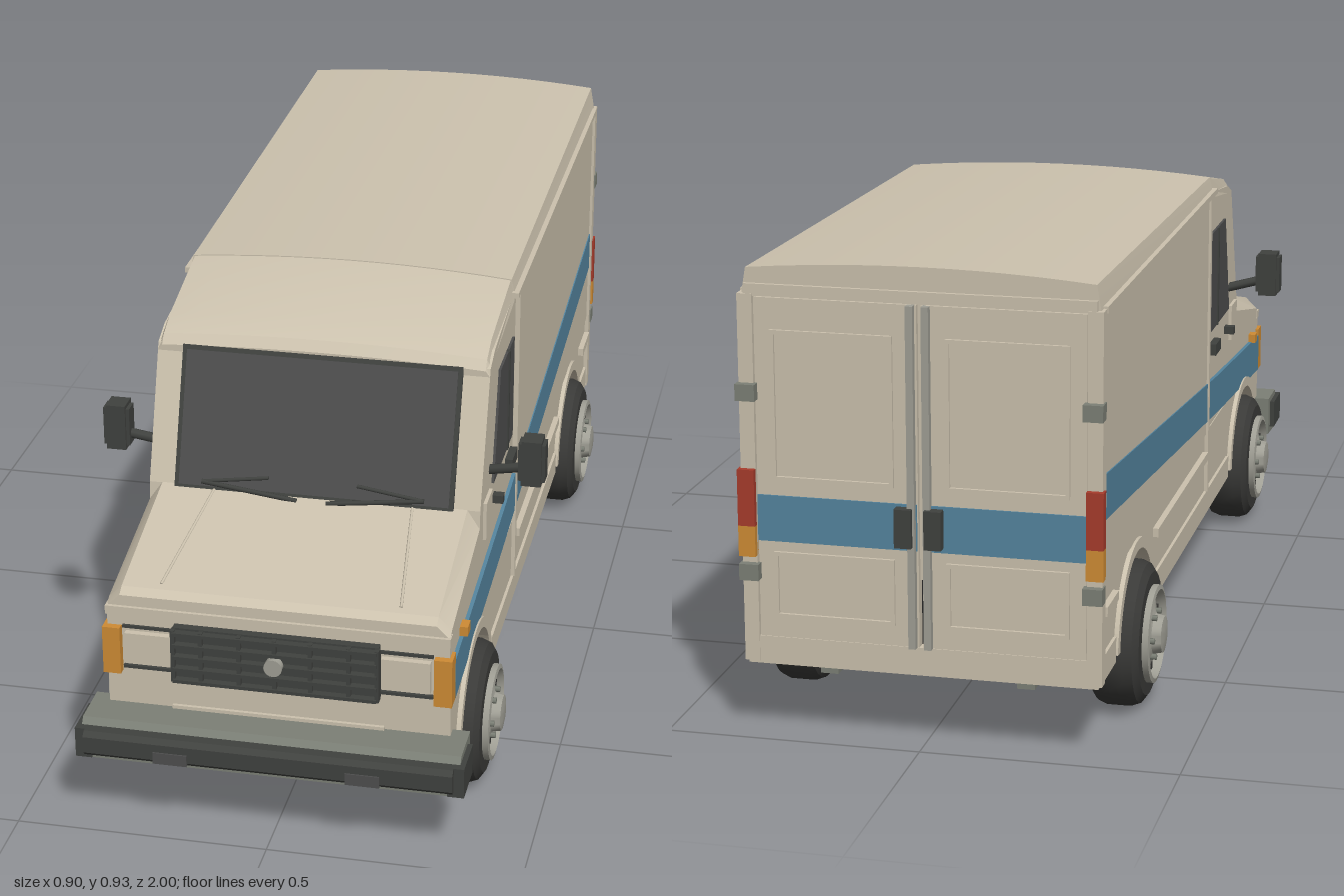
import * as THREE from 'three';
import { toCreasedNormals } from 'three/addons/utils/BufferGeometryUtils.js';

const mat = (name, color) => new THREE.MeshStandardMaterial({ name, color });
const M = {
  paint: mat('beige paint', 0xccc2ae), blue: mat('blue stripe', 0x55859f),
  glass: mat('dark glass', 0x4e4e4e), black: mat('black plastic', 0x40423f),
  tyre: mat('tyre rubber', 0x3a3a38), rim: mat('wheel grey', 0xa09f95),
  steel: mat('grey steel', 0x7c8076), orange: mat('orange lamp', 0xcf8c35),
  red: mat('red lamp', 0xa83c2c), floor: mat('floor black', 0x282828),
};

export function createModel() {
  const van = new THREE.Group();
  van.name = 'deliveryVan';
  const add = (name, geo, m, parent = van) => {
    const mesh = new THREE.Mesh(geo, m);
    mesh.name = name;
    parent.add(mesh);
    return mesh;
  };
  // box from its limits; pair() builds it on both sides
  const box = (name, m, x0, x1, y0, y1, z0, z1) => add(name,
    new THREE.BoxGeometry(x1 - x0, y1 - y0, z1 - z0).translate((x0 + x1) / 2, (y0 + y1) / 2, (z0 + z1) / 2), m);
  const pair = (name, m, x0, x1, ...r) => {
    box(name + 'Left', m, x0, x1, ...r);
    box(name + 'Right', m, -x1, -x0, ...r);
  };
  // side outline (z, y) extruded across x
  const slab = (name, m, outline, x0, x1) => {
    const s = outline instanceof THREE.Shape ? outline : new THREE.Shape(outline.map(p => new THREE.Vector2(...p)));
    const g = new THREE.ExtrudeGeometry(s, { depth: x1 - x0, bevelEnabled: false, curveSegments: 20 });
    return add(name, g.rotateY(-Math.PI / 2).translate(x1, 0, 0), m);
  };
  const slabPair = (name, m, outline, x0, x1) => {
    slab(name + 'Left', m, outline, x0, x1);
    slab(name + 'Right', m, outline, -x1, -x0);
  };
  const rod = (name, m, a, b, r) => {
    const A = new THREE.Vector3(...a), B = new THREE.Vector3(...b), d = B.clone().sub(A);
    const mesh = add(name, new THREE.CylinderGeometry(r, r, d.length(), 8), m);
    mesh.position.copy(A).add(B).multiplyScalar(0.5);
    mesh.quaternion.setFromUnitVectors(new THREE.Vector3(0, 1, 0), d.normalize());
  };
  // closed cross-sections, front to back, each running from -x over the top to +x
  const loft = (name, m, rings) => {
    const n = rings[0].length, last = (rings.length - 1) * n, idx = [];
    for (let i = 0; i < rings.length - 1; i++) for (let j = 0; j < n; j++) {
      const a = i * n + j, b = i * n + (j + 1) % n;
      idx.push(a, b, b + n, a, b + n, a + n);
    }
    for (let j = 1; j < n - 1; j++) idx.push(0, j + 1, j, last, last + j, last + j + 1);
    const g = new THREE.BufferGeometry();
    g.setAttribute('position', new THREE.Float32BufferAttribute(rings.flat(2), 3));
    g.setIndex(idx);
    return add(name, toCreasedNormals(g, 0.3), m);
  };

  const WZ = [0.64, -0.645], WY = 0.145, W = 0.336;

  // cab and cargo shell
  slab('cabBody', M.paint, [[0.885, 0.33], [0.885, 0.42], [0.57, 0.5], [0.565, 0.55], [0.47, 0.815],
    [0.42, 0.835], [0.16, 0.865], [0.16, 0.33]], -W, W);
  box('cargoBody', M.paint, -0.341, 0.341, 0.33, 0.866, -0.965, 0.16);
  // lower sides with wheel arches
  const skirt = new THREE.Shape(), a0 = 0.088;
  skirt.moveTo(0.885, 0.22).lineTo(0.84, 0.16);
  WZ.forEach(z => skirt.absarc(z, WY, 0.17, a0, Math.PI - a0, false));
  skirt.lineTo(-0.965, 0.16).lineTo(-0.965, 0.33).lineTo(0.885, 0.33);
  slabPair('lowerSide', M.paint, skirt, 0.265, 0.338);
  WZ.forEach((z, i) => {
    const lip = new THREE.Shape();
    lip.absarc(z, WY, 0.188, a0, Math.PI - a0, false);
    lip.absarc(z, WY, 0.166, Math.PI - a0, a0, true);
    slabPair(i ? 'rearArchLip' : 'frontArchLip', M.paint, lip, 0.32, 0.347);
  });
  box('nosePanel', M.paint, -0.3, 0.3, 0.22, 0.335, 0.83, 0.885);

  // hood with shoulders
  const hoodRing = (z, s, h) => [[-W, 0.4, z], [-W, s, z], [-0.31, h, z], [0.31, h, z], [W, s, z], [W, 0.4, z]];
  loft('hood', M.paint, [hoodRing(0.888, 0.44, 0.465), hoodRing(0.87, 0.45, 0.476), hoodRing(0.56, 0.515, 0.552)]);
  [-1, 1].forEach(s => rod('hoodCrease', M.paint, [s * 0.2, 0.551, 0.56], [s * 0.235, 0.48, 0.855], 0.003));

  // arched roofs
  const roofRing = (z, base, edge, mid, w) => {
    const pts = [[-w, base, z]];
    for (let i = 0; i <= 12; i++) {
      const t = i / 6 - 1;
      pts.push([t * (w - 0.009), edge + (mid - edge) * (1 - t * t), z]);
    }
    return [...pts, [w, base, z]];
  };
  loft('cabRoof', M.paint, [roofRing(0.476, 0.8, 0.812, 0.822, W), roofRing(0.46, 0.81, 0.83, 0.842, W),
    roofRing(0.41, 0.82, 0.852, 0.868, W), roofRing(0.2, 0.85, 0.893, 0.909, 0.339)]);
  loft('cargoRoof', M.paint, [roofRing(0.2, 0.86, 0.895, 0.911, 0.341), roofRing(-0.97, 0.862, 0.914, 0.93, 0.341)]);
  pair('rainGutter', M.paint, 0.335, 0.349, 0.858, 0.87, -0.95, 0.21);

  // windscreen, frame and wipers
  const screen = y => 0.565 - (y - 0.55) * 0.3585;
  const pane = (y0, y1, d) => [[screen(y0), y0], [screen(y0) + d, y0 + d * 0.36],
    [screen(y1) + d, y1 + d * 0.36], [screen(y1), y1]];
  slab('windscreenFrame', M.black, pane(0.545, 0.815, 0.007), -0.283, 0.283);
  slab('windscreen', M.glass, pane(0.552, 0.806, 0.0095), -0.274, 0.274);
  [-1, 1].forEach(s => {
    const p = (x, y) => [s * x, y, screen(y) + 0.018];
    rod('wiperBlade', M.black, p(0.225, 0.567), p(0.03, 0.546), 0.005);
    rod('wiperArm', M.black, p(0.225, 0.567), p(0.09, 0.584), 0.004);
  });
  pair('pillarTrim', M.paint, 0.325, 0.343, 0.47, 0.55, 0.46, 0.53);

  // cab doors
  slabPair('sideWindow', M.glass, [[0.435, 0.55], [0.37, 0.77], [0.2, 0.77], [0.2, 0.55]], 0.333, 0.341);
  pair('windowDivider', M.black, 0.335, 0.344, 0.55, 0.77, 0.268, 0.278);
  pair('doorHandle', M.black, 0.334, 0.352, 0.497, 0.522, 0.2, 0.265);
  pair('doorRearSeam', M.paint, 0.335, 0.346, 0.2, 0.86, 0.15, 0.165);
  pair('doorHinge', M.black, 0.334, 0.358, 0.498, 0.515, 0.4, 0.42);
  [-1, 1].forEach(s => {
    rod('mirrorArm', M.black, [s * 0.33, 0.592, 0.46], [s * 0.41, 0.612, 0.475], 0.01);
    const x = s * 0.424;
    box('mirror', M.black, x - 0.027, x + 0.027, 0.588, 0.668, 0.455, 0.49);
    box('mirrorCore', M.black, x - 0.02, x + 0.02, 0.58, 0.676, 0.45, 0.496);
  });

  // side stripe and mouldings
  slabPair('sideStripe', M.blue, [[0.865, 0.3], [0.865, 0.385], [0.3, 0.43], [-0.95, 0.552],
    [-0.95, 0.464], [0.3, 0.345]], 0.335, 0.3435);
  pair('sideMoulding', M.paint, 0.335, 0.35, 0.278, 0.296, -0.445, 0.13);
  pair('rearMoulding', M.paint, 0.335, 0.35, 0.278, 0.296, -0.945, -0.84);
  pair('sill', M.paint, 0.33, 0.344, 0.15, 0.2, -0.45, 0.44);
  pair('rearSill', M.paint, 0.33, 0.344, 0.15, 0.2, -0.96, -0.835);
  pair('sideMarker', M.orange, 0.334, 0.352, 0.392, 0.412, 0.755, 0.785);

  // front face
  box('fasciaTopTrim', M.paint, -0.338, 0.338, 0.425, 0.443, 0.87, 0.895);
  pair('headlampPanel', M.paint, 0.205, 0.3, 0.322, 0.388, 0.88, 0.898);
  pair('headlampTopLine', M.black, 0.2, 0.305, 0.397, 0.403, 0.88, 0.893);
  pair('headlampBottomLine', M.black, 0.2, 0.305, 0.309, 0.315, 0.88, 0.893);
  pair('indicator', M.orange, 0.308, 0.343, 0.3, 0.4, 0.862, 0.903);
  box('grilleBack', M.black, -0.202, 0.202, 0.3, 0.415, 0.88, 0.905);
  for (let i = 0; i < 5; i++) box('grilleBar', M.black, -0.2, 0.2, 0.302 + i * 0.0255, 0.309 + i * 0.0255, 0.9, 0.92);
  [-0.2, -0.145, -0.07, 0, 0.07, 0.145, 0.2].forEach(x => box('grillePost', M.black, x - 0.004, x + 0.004, 0.302, 0.413, 0.9, 0.916));
  add('grilleDisc', new THREE.CylinderGeometry(0.018, 0.018, 0.015, 16).rotateX(Math.PI / 2).translate(0, 0.36, 0.92), M.rim);
  box('noseLowerTrim', M.paint, -0.21, 0.21, 0.225, 0.235, 0.88, 0.892);

  // bumper
  slab('bumperBeam', M.steel, [[0.86, 0.14], [0.95, 0.135], [0.975, 0.15], [0.975, 0.2], [0.955, 0.228], [0.86, 0.228]], -0.372, 0.372);
  slab('bumperPad', M.black, [[0.9, 0.163], [0.988, 0.163], [0.997, 0.172], [0.997, 0.206], [0.986, 0.215], [0.9, 0.215]], -0.362, 0.362);
  pair('bumperEnd', M.black, 0.35, 0.382, 0.152, 0.215, 0.885, 0.98);
  pair('bumperInset', M.glass, 0.155, 0.222, 0.166, 0.19, 0.98, 1);
  box('frontCrossBeam', M.black, -0.27, 0.27, 0.115, 0.14, 0.8, 0.86);

  // rear doors
  pair('rearPost', M.paint, 0.318, 0.347, 0.15, 0.866, -0.98, -0.95);
  box('rearHeader', M.paint, -0.335, 0.335, 0.862, 0.885, -0.978, -0.95);
  box('rearStep', M.paint, -0.34, 0.34, 0.145, 0.2, -0.978, -0.94);
  pair('rearDoor', M.paint, 0.004, 0.316, 0.2, 0.86, -0.976, -0.95);
  [[0.24, 0.37], [0.51, 0.8]].forEach(([y0, y1]) => {
    pair('rearDoorPanelTop', M.paint, 0.05, 0.285, y1 - 0.008, y1, -0.982, -0.97);
    pair('rearDoorPanelBottom', M.paint, 0.05, 0.285, y0, y0 + 0.008, -0.982, -0.97);
    pair('rearDoorPanelInner', M.paint, 0.05, 0.058, y0, y1, -0.982, -0.97);
    pair('rearDoorPanelOuter', M.paint, 0.277, 0.285, y0, y1, -0.982, -0.97);
  });
  pair('rearStripe', M.blue, 0.006, 0.316, 0.39, 0.48, -0.979, -0.972);
  pair('lockRod', M.rim, 0.008, 0.022, 0.2, 0.86, -0.99, -0.972);
  pair('doorLatch', M.black, 0.012, 0.045, 0.4, 0.475, -1, -0.972);
  [0.33, 0.68].forEach(y => pair('rearHinge', M.steel, 0.312, 0.35, y - 0.016, y + 0.016, -0.996, -0.965));
  pair('tailLampRed', M.red, 0.318, 0.351, 0.42, 0.53, -0.992, -0.97);
  pair('tailLampOrange', M.orange, 0.318, 0.351, 0.36, 0.42, -0.992, -0.97);

  // underbody
  box('floorCore', M.floor, -0.265, 0.265, 0.158, 0.333, -0.955, 0.85);
  pair('chassisRail', M.steel, 0.175, 0.21, 0.12, 0.165, -0.94, 0.86);
  [0.72, 0.4, 0.12, -0.18, -0.46, -0.78, -0.92].forEach(z => box('crossMember', M.steel, -0.262, 0.262, 0.13, 0.162, z - 0.018, z + 0.018));
  pair('sideRail', M.steel, 0.265, 0.3, 0.125, 0.162, -0.45, 0.31);
  box('fuelTank', M.black, -0.22, -0.09, 0.078, 0.14, -0.255, -0.015);
  add('muffler', new THREE.CylinderGeometry(0.028, 0.028, 0.19, 12).rotateX(Math.PI / 2).translate(-0.1, 0.115, -0.41), M.steel);
  WZ.forEach(z => rod('axle', M.steel, [-0.28, WY, z], [0.28, WY, z], 0.022));

  // wheels
  const lathe = pts => toCreasedNormals(new THREE.LatheGeometry(pts.map(p => new THREE.Vector2(...p)), 28).rotateZ(-Math.PI / 2), 0.5);
  const tyre = lathe([[0, -0.045], [0.09, -0.05], [0.122, -0.051], [0.138, -0.04], [0.145, -0.022],
    [0.145, 0.022], [0.138, 0.04], [0.122, 0.051], [0.095, 0.052]]);
  const rim = lathe([[0.097, 0.045], [0.097, 0.064], [0.088, 0.066], [0.08, 0.048], [0.05, 0.056],
    [0.04, 0.06], [0.036, 0.078], [0.02, 0.081], [0, 0.081]]);
  const hole = new THREE.CylinderGeometry(0.009, 0.009, 0.008, 10).rotateZ(Math.PI / 2);
  const nut = new THREE.CylinderGeometry(0.006, 0.006, 0.02, 6).rotateZ(Math.PI / 2);
  WZ.forEach((z, i) => [-1, 1].forEach(s => {
    const wheel = new THREE.Group();
    wheel.name = (i ? 'rear' : 'front') + 'Wheel' + (s > 0 ? 'Left' : 'Right');
    wheel.position.set(s * 0.323, WY, z);
    if (s < 0) wheel.rotation.y = Math.PI;
    add('tyre', tyre, M.tyre, wheel);
    add('rim', rim, M.rim, wheel);
    for (let k = 0; k < 6; k++) {
      const a = k * Math.PI / 3, c = Math.cos(a), d = Math.sin(a);
      add('rimHole', hole, M.tyre, wheel).position.set(0.05, c * 0.066, d * 0.066);
      add('wheelNut', nut, M.steel, wheel).position.set(0.058, d * 0.046, c * 0.046);
    }
    van.add(wheel);
  }));
  return van;
}
